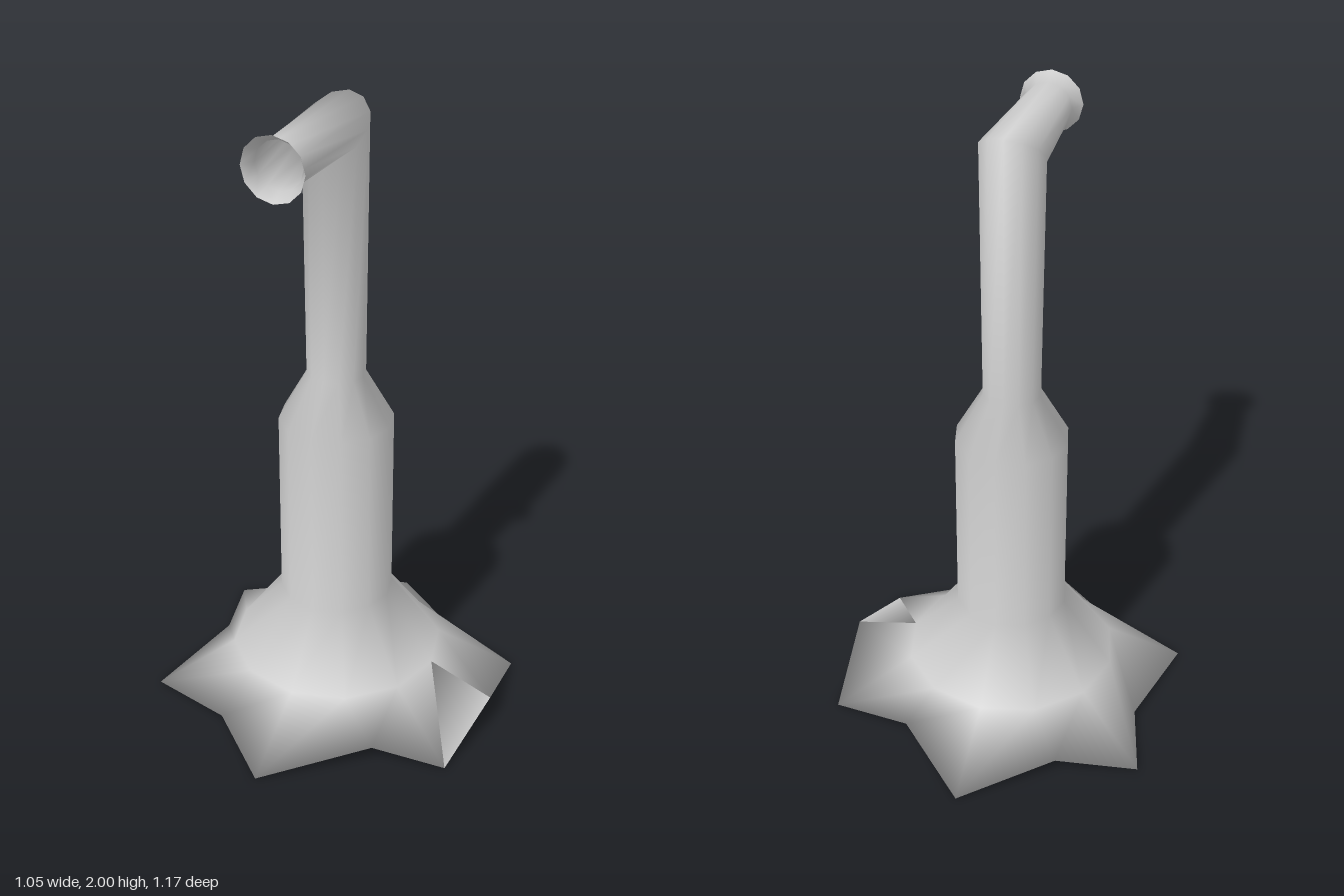
import * as THREE from 'three';

const SIDES = 12;
const AXIS_X = -0.022;

// One cross-section, running from the front (+z) round through +x
function ring(pointAt) {
  return Array.from({ length: SIDES }, (_, k) => {
    const a = (k / SIDES) * Math.PI * 2;
    return pointAt(Math.sin(a), Math.cos(a), k);
  });
}
const level = (r, y) => ring((s, c) => [AXIS_X + r * s, y, r * c]);
const upright = (r, z) => ring((s, c) => [AXIS_X + r * s, 1.903 - r * c, z]);

// Ragged six-pointed hem of the base: x, y, z
const HEM = [
  [-0.022, 0, 0.583], [0.265, 0.05, 0.355], [0.483, 0, 0.292],
  [0.525, 0.094, 0.02], [0.483, 0, -0.295], [0.22, 0.045, -0.36],
  [-0.022, 0, -0.585], [-0.28, 0.04, -0.375], [-0.527, 0, -0.295],
  [-0.46, 0.02, -0.06], [-0.527, 0, 0.29], [-0.245, 0.023, 0.385],
];

export function createModel() {
  const group = new THREE.Group();
  const material = new THREE.MeshStandardMaterial({ color: 0xcccccc, side: THREE.DoubleSide });

  const rings = [
    level(0, 0.03),                                                              // middle of the underside
    ring((s, c, k) => HEM[k]),                                                   // hem
    level(0.335, 0.155),                                                         // flare of the base
    level(0.177, 0.37),                                                          // barrel bottom
    level(0.177, 0.975),                                                         // barrel top
    level(0.09, 1.13),                                                           // neck bottom
    ring((s, c) => [AXIS_X + 0.099 * s, 1.905 - 0.075 * c, 0.088 * c]),          // mitred elbow
    upright(0.073, 0.35),                                                        // pipe end
    upright(0.097, 0.388),                                                       // mouth rim
  ];

  // Skin from ring to ring
  const strip = (from, to) => {
    const index = [];
    for (let i = from; i < to; i++) {
      for (let k = 0; k < SIDES; k++) {
        const n = (k + 1) % SIDES;
        const a = i * SIDES + k, b = i * SIDES + n;
        index.push(a, b, b + SIDES, a, b + SIDES, a + SIDES);
      }
    }
    return index;
  };

  // The whole skin gives normals that stay smooth across the parts
  const skin = new THREE.BufferGeometry();
  skin.setAttribute('position', new THREE.Float32BufferAttribute(rings.flat(2), 3));
  skin.setIndex(strip(0, rings.length - 1));
  skin.computeVertexNormals();

  const addPart = (name, from, to) => {
    const geometry = new THREE.BufferGeometry();
    for (const key of ['position', 'normal']) {
      const part = skin.getAttribute(key).array.slice(from * SIDES * 3, (to + 1) * SIDES * 3);
      geometry.setAttribute(key, new THREE.BufferAttribute(part, 3));
    }
    geometry.setIndex(strip(0, to - from));
    const mesh = new THREE.Mesh(geometry, material);
    mesh.name = name;
    group.add(mesh);
  };

  addPart('underside', 0, 1);
  addPart('raggedBase', 1, 3);
  addPart('barrel', 3, 4);
  addPart('shoulder', 4, 5);
  addPart('neck', 5, 6);
  addPart('spout', 6, 7);
  addPart('spoutMouth', 7, 8);
  return group;
}
